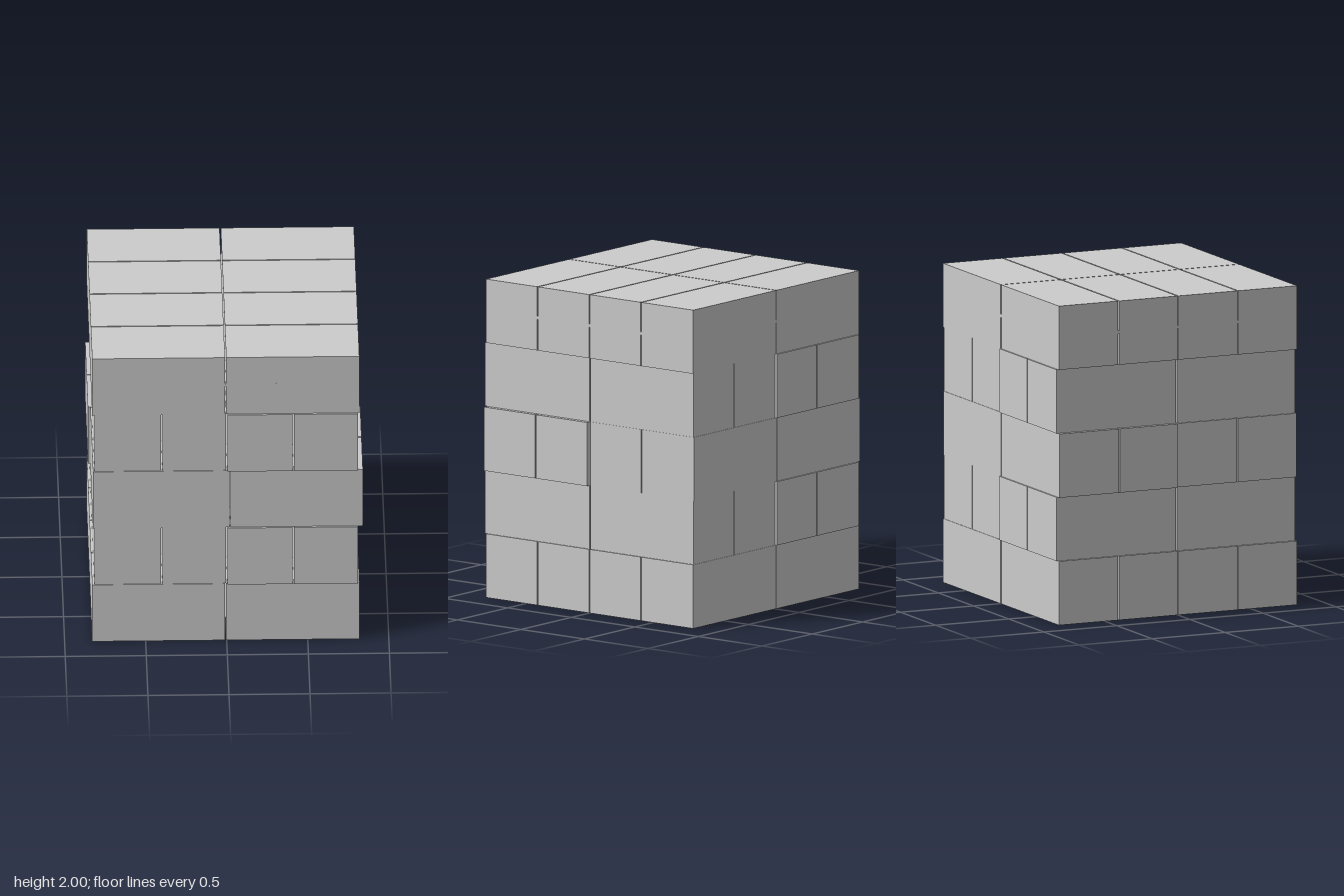
import * as THREE from 'three';

const grey = new THREE.MeshStandardMaterial({ color: 0xcccccc, flatShading: true });
const GAP = 0.008;

// Block between two corners, with a hairline joint on its inner sides
function addBlock(parent, name, [x0, x1], [y0, y1], [z0, z1]) {
  const mesh = new THREE.Mesh(new THREE.BoxGeometry(x1 - x0, y1 - y0, z1 - z0), grey);
  mesh.position.set((x0 + x1) / 2, (y0 + y1) / 2, (z0 + z1) / 2);
  mesh.name = name;
  parent.add(mesh);
}

// Spans between consecutive cuts, leaving a joint at every inner cut
function spans(cuts) {
  const last = cuts.length - 2;
  return cuts.slice(0, -1).map((c, i) => [
    c + (i > 0 ? GAP / 2 : 0),
    cuts[i + 1] - (i < last ? GAP / 2 : 0),
  ]);
}

// Course of blocks lying along x: two per row, four rows deep
function courseAlongX(name, y, zCuts, xCutsBack, xCutsFront) {
  const course = new THREE.Group();
  course.name = name;
  spans(zCuts).forEach((z, row) => {
    spans(row < 2 ? xCutsBack : xCutsFront).forEach((x) => addBlock(course, 'block', x, y, z));
  });
  return course;
}

// Course of blocks lying along z: four columns, two per column
function courseAlongZ(name, y) {
  const course = new THREE.Group();
  course.name = name;
  spans([-0.815, -0.4, 0, 0.41, 0.81]).forEach((x, col) => {
    const zCuts = col < 2 ? [-0.825, -0.005, 0.81] : [-0.812, 0.005, 0.828];
    spans(zCuts).forEach((z) => addBlock(course, 'block', x, y, z));
  });
  return course;
}

export function createModel() {
  const model = new THREE.Group();
  model.name = 'blockStack';
  const rows = [-0.815, -0.405, 0, 0.41, 0.815];
  const halves = [-0.83, -0.007, 0.818];

  // Four full-height courses in alternating directions
  model.add(courseAlongX('bottomCourse', [0, 0.4], rows, halves, halves));
  model.add(courseAlongZ('secondCourse', [0.4, 0.8]));
  model.add(courseAlongX('thirdCourse', [0.8, 1.2], rows,
    [-0.84, -0.012, 0.812], [-0.825, 0.02, 0.84]));
  model.add(courseAlongZ('fourthCourse', [1.2, 1.6]));

  // Two half-height courses of slabs with a thin bed between them
  model.add(courseAlongX('lowerSlabs', [1.6, 1.795], rows, halves, halves));
  addBlock(model, 'slabBed', [-0.83, 0.818], [1.795, 1.815], [-0.815, 0.815]);
  model.add(courseAlongX('topSlabs', [1.815, 2], rows, halves, halves));
  return model;
}
